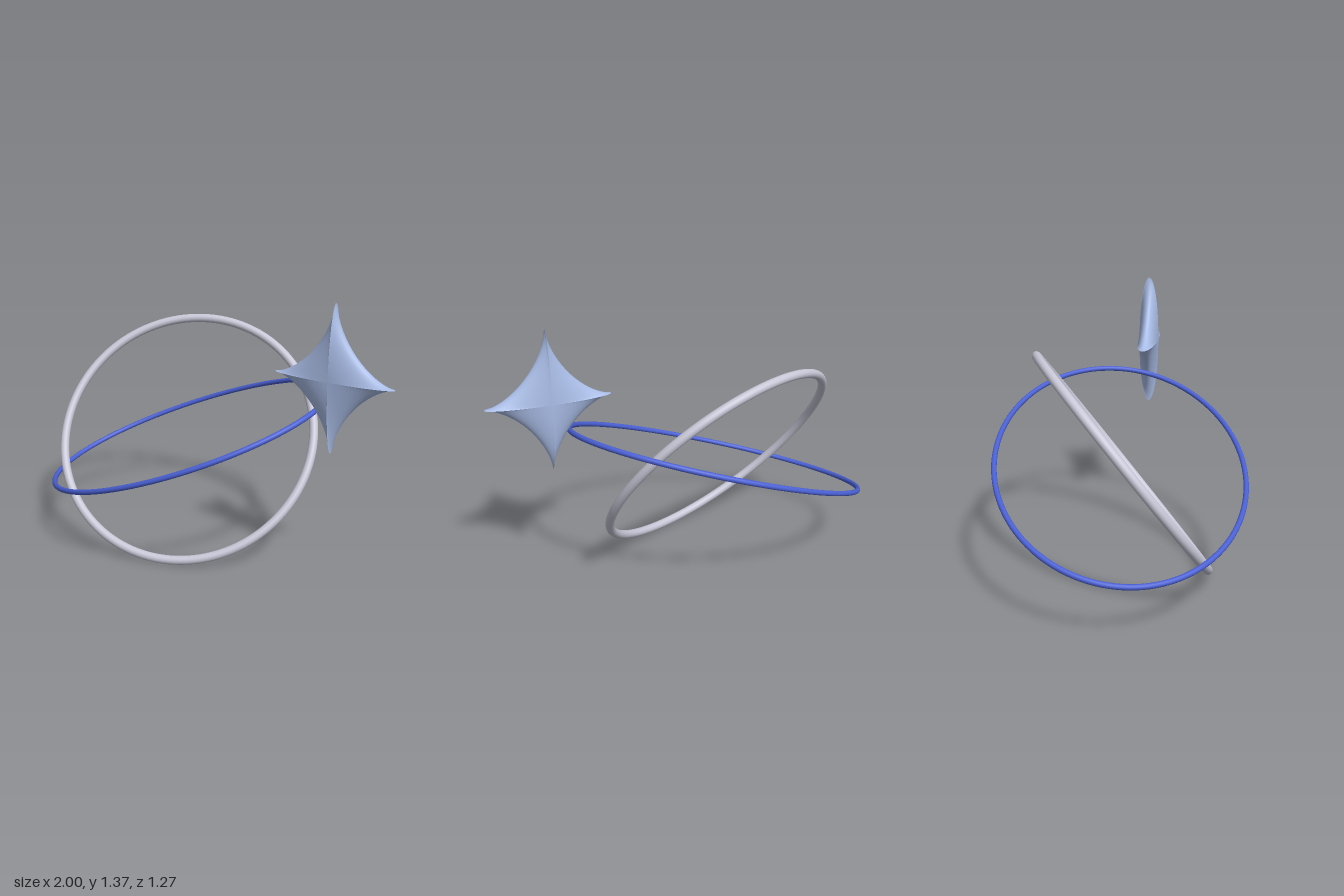
import * as THREE from 'three';
import { ParametricGeometry } from 'three/addons/geometries/ParametricGeometry.js';

// Closed ellipse spanned by two half-axis vectors
class EllipseLoop extends THREE.Curve {
  constructor(p, q) {
    super();
    this.p = p;
    this.q = q;
  }
  getPoint(t, target = new THREE.Vector3()) {
    const a = t * Math.PI * 2;
    return target.set(0, 0, 0)
      .addScaledVector(this.p, Math.cos(a))
      .addScaledVector(this.q, Math.sin(a));
  }
}

function makeMesh(name, geometry, color) {
  const mesh = new THREE.Mesh(geometry, new THREE.MeshStandardMaterial({ color }));
  mesh.name = name;
  return mesh;
}

// One quarter of a four-pointed pillow star: astroid outline, elliptic thickness
function starQuarter(k, rx, ry, rz) {
  const geometry = new ParametricGeometry((u, v, target) => {
    const theta = (k + u) * Math.PI / 2;
    const phi = (v - 0.5) * Math.PI;
    const c = Math.cos(phi);
    target.set(
      rx * Math.cos(theta) ** 3 * c,
      ry * Math.sin(theta) ** 3 * c,
      rz * Math.sin(phi));
  }, 24, 32);
  geometry.computeVertexNormals();
  return geometry;
}

export function createModel() {
  const model = new THREE.Group();
  model.name = 'ringsAndStar';

  // Thick circular ring, tilted
  const circleRing = makeMesh('circleRing', new THREE.TorusGeometry(0.68, 0.023, 24, 128), 0xc6c6d6);
  circleRing.position.set(-0.2, 0.572, 0);
  circleRing.quaternion.setFromUnitVectors(
    new THREE.Vector3(0, 0, 1),
    new THREE.Vector3(0.3, 0.593, 0.746).normalize());
  model.add(circleRing);

  // Thin elliptical ring, rising towards +x
  const loop = new EllipseLoop(
    new THREE.Vector3(0.787, 0.275, 0),
    new THREE.Vector3(0, 0.12, -0.622));
  const ellipseRing = makeMesh('ellipseRing', new THREE.TubeGeometry(loop, 160, 0.0135, 16, true), 0x4a60d4);
  ellipseRing.position.set(-0.2, 0.573, 0);
  model.add(ellipseRing);

  // Four-pointed star with a crease along each arm
  const star = new THREE.Group();
  star.name = 'star';
  star.position.set(0.685, 1.015, 0.031);
  for (let k = 0; k < 4; k++) {
    star.add(makeMesh('starQuarter' + (k + 1), starQuarter(k, 0.313, 0.36, 0.055), 0xa9bce6));
  }
  model.add(star);

  return model;
}
